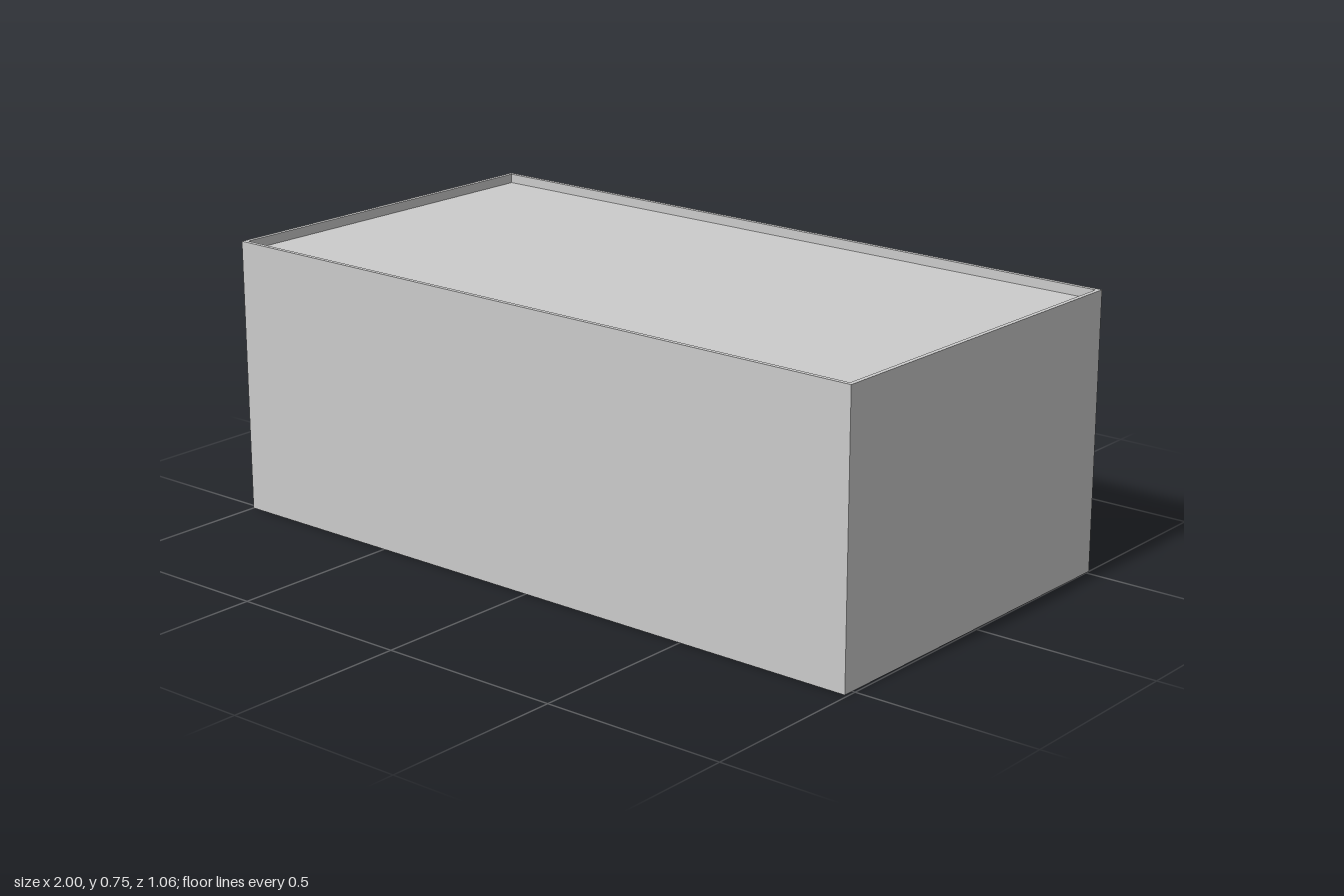
import * as THREE from 'three';

const L = 1.992, D = 1.043, H = 0.745, ROOF = 0.72, T = 0.012;

function rect(shape, x0, y0, x1, y1) {
  shape.moveTo(x0, y0);
  shape.lineTo(x1, y0);
  shape.lineTo(x1, y1);
  shape.lineTo(x0, y1);
  shape.closePath();
  return shape;
}

// Flat rectangular ring, extruded along z
function ring(w, h, t, depth) {
  const outer = rect(new THREE.Shape(), -w / 2, -h / 2, w / 2, h / 2);
  outer.holes.push(rect(new THREE.Path(), -w / 2 + t, -h / 2 + t, w / 2 - t, h / 2 - t));
  return new THREE.ExtrudeGeometry(outer, { depth, bevelEnabled: false });
}

export function createModel() {
  const model = new THREE.Group();
  model.name = 'building';
  const grey = new THREE.MeshStandardMaterial({ color: 0xcccccc, flatShading: true });
  const thin = new THREE.MeshStandardMaterial({ color: 0xcccccc, flatShading: true, side: THREE.DoubleSide });

  const body = new THREE.Group();
  body.name = 'body';
  body.rotation.y = -0.0075; // the block stands very slightly askew
  model.add(body);

  const add = (name, geometry, material, x, y, z, parent = body) => {
    const mesh = new THREE.Mesh(geometry, material);
    mesh.name = name;
    mesh.position.set(x, y, z);
    parent.add(mesh);
    return mesh;
  };

  // Thin outer walls, open underneath
  ['frontWall', 'leftWall', 'backWall', 'rightWall'].forEach((name, i) => {
    const along = i % 2 ? D : L, out = (i % 2 ? L : D) / 2;
    const a = i * Math.PI / 2;
    const wall = add(name, new THREE.PlaneGeometry(along, ROOF), thin,
      Math.sin(a) * out, ROOF / 2, Math.cos(a) * out);
    wall.rotation.y = a;
  });

  // Sunken flat roof inside a low parapet
  add('roof', new THREE.PlaneGeometry(L - 2 * T, D - 2 * T), thin, 0, ROOF, 0).rotation.x = -Math.PI / 2;
  add('parapet', ring(L, D, T, H - ROOF), grey, 0, ROOF, 0).rotation.x = -Math.PI / 2;

  // Framed opening on the back wall, facing -z
  const framed = (name, x, y, w, h) => {
    const group = new THREE.Group();
    group.name = name;
    group.position.set(x, y, -D / 2);
    group.rotation.y = Math.PI;
    body.add(group);
    add(name + 'Frame', ring(w, h, 0.01, 0.004), grey, 0, 0, 0, group);
    add(name + 'Panel', new THREE.BoxGeometry(w - 0.02, h - 0.02, 0.002), grey, 0, 0, 0.001, group);
    return group;
  };
  const door = framed('door', 0.733, 0.25, 0.17, 0.5);
  framed('window', -0.47, 0.359, 0.18, 0.18);

  // Small door knob
  add('doorKnob', new THREE.SphereGeometry(0.005, 10, 8), grey, -0.072, -0.01, 0.005, door);

  return model;
}
